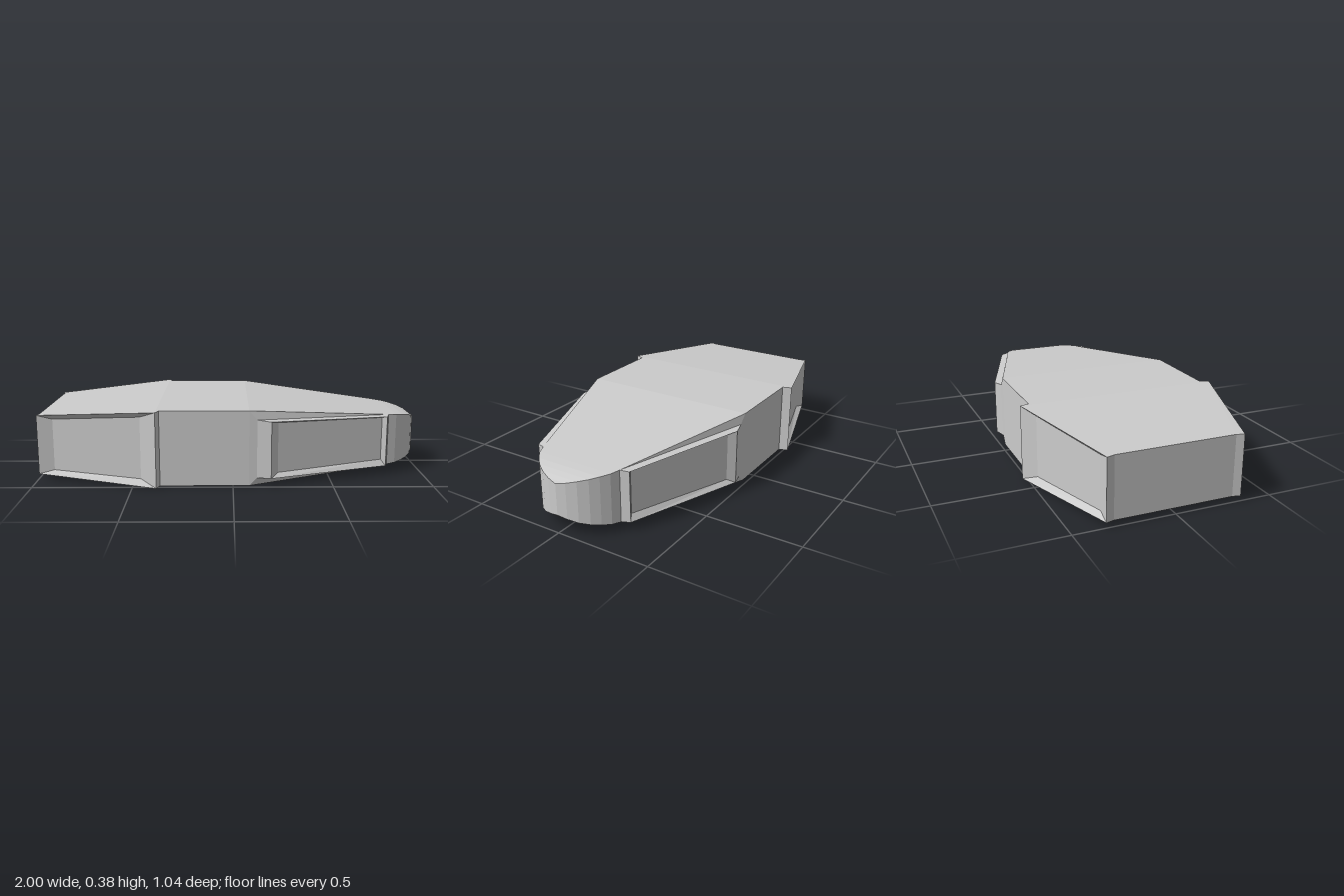
import * as THREE from 'three';

const material = new THREE.MeshStandardMaterial({ color: 0xcccccc, flatShading: true, side: THREE.DoubleSide });

// Mesh from convex polygons, each listed counter-clockwise as seen from outside
function facetMesh(name, faces) {
  const pos = [];
  for (const f of faces) {
    for (let i = 1; i < f.length - 1; i++) pos.push(...f[0], ...f[i], ...f[i + 1]);
  }
  const geo = new THREE.BufferGeometry();
  geo.setAttribute('position', new THREE.Float32BufferAttribute(pos, 3));
  geo.computeVertexNormals();
  const mesh = new THREE.Mesh(geo, material);
  mesh.name = name;
  return mesh;
}

const mirrorZ = (faces) => faces.map((f) => f.map(([x, y, z]) => [x, y, -z]).reverse());
const bothSides = (faces) => [...faces, ...mirrorZ(faces)];

// Four-cornered frame sloping in to a recessed panel
function recess(outer, inner) {
  const frame = outer.map((p, i) => {
    const j = (i + 1) % 4;
    return [p, outer[j], inner[j], inner[i]];
  });
  return [...frame, inner];
}

// Hull stations: x, half width, bottom y, top y
const tail = [-1, 0.34, 0.025, 0.333];
const notch = [-0.99, 0.3, 0.025, 0.334];
const stepOuter = [-0.38, 0.522, 0, 0.382];
const stepInner = [-0.365, 0.475, 0, 0.382];
const shoulder = [0.08, 0.475, 0, 0.382];
const nose = [
  [0.82, 0.228, 0.042, 0.312],
  [0.865, 0.21, 0.046, 0.307],
  [0.905, 0.18, 0.052, 0.301],
  [0.94, 0.145, 0.06, 0.293],
  [0.97, 0.1, 0.07, 0.283],
  [0.99, 0.05, 0.083, 0.27],
  [1, 0, 0.095, 0.258],
];
const top = (s) => [s[0], s[3], s[1]];
const low = (s) => [s[0], s[2], s[1]];
const flip = ([x, y, z]) => [x, y, -z];
const wall = (a, b) => [low(a), low(b), top(b), top(a)];

export function createModel() {
  const group = new THREE.Group();
  group.name = 'hull';

  // Upper and lower skins, bent at the shoulder and step
  const stations = [notch, stepOuter, stepInner, shoulder, ...nose];
  const deck = bothSides([[top(tail), top(stepOuter), top(notch)]]);
  const belly = bothSides([[low(tail), low(notch), low(stepOuter)]]);
  for (let i = 0; i < stations.length - 1; i++) {
    const a = stations[i], b = stations[i + 1];
    deck.push([top(a), top(b), flip(top(b)), flip(top(a))]);
    belly.push([low(a), flip(low(a)), flip(low(b)), low(b)]);
  }
  group.add(facetMesh('deck', deck), facetMesh('belly', belly));

  // Tail face with small corner lips
  group.add(facetMesh('tailFace', [
    [low(notch), top(notch), flip(top(notch)), flip(low(notch))],
    ...bothSides([wall(notch, tail)]),
  ]));

  // Rear recessed side panels
  const rearZ = (x) => 0.34 + (x + 1) * 0.2935 - 0.03;
  group.add(facetMesh('rearSidePanels', bothSides(recess(wall(tail, stepOuter), [
    [-0.92, 0.045, rearZ(-0.92)], [-0.46, 0.035, rearZ(-0.46)],
    [-0.46, 0.35, rearZ(-0.46)], [-0.92, 0.312, rearZ(-0.92)],
  ]))));

  // Straight middle sides and the step behind them
  group.add(facetMesh('middleSides', bothSides([wall(stepOuter, stepInner), wall(stepInner, shoulder)])));

  // Front side pods, raised from the tapering hull
  const A = top(shoulder), A2 = low(shoulder), B = top(nose[0]), B2 = low(nose[0]);
  const S = [0.12, 0.335, 0.473], S2 = [0.12, 0.04, 0.473];
  const C = [0.19, 0.328, 0.49], C2 = [0.19, 0.04, 0.49];
  const D = [0.805, 0.308, 0.272], D2 = [0.805, 0.045, 0.272];
  const podZ = (x) => 0.49 - (x - 0.19) * 0.3545 - 0.022;
  group.add(facetMesh('frontSidePods', bothSides([
    [A, S, B], [A2, B2, S2],
    [A, A2, S2, S],
    [S, C, D, B], [S2, B2, D2, C2],
    [S, S2, C2, C],
    [D, D2, B2, B],
    ...recess([C2, D2, D, C], [
      [0.225, 0.063, podZ(0.225)], [0.78, 0.077, podZ(0.78)],
      [0.78, 0.302, podZ(0.78)], [0.225, 0.318, podZ(0.225)],
    ]),
  ])));

  // Rounded nose wall
  const noseWall = nose.slice(1).map((s, i) => wall(nose[i], s));
  group.add(facetMesh('noseWall', bothSides(noseWall)));

  return group;
}
